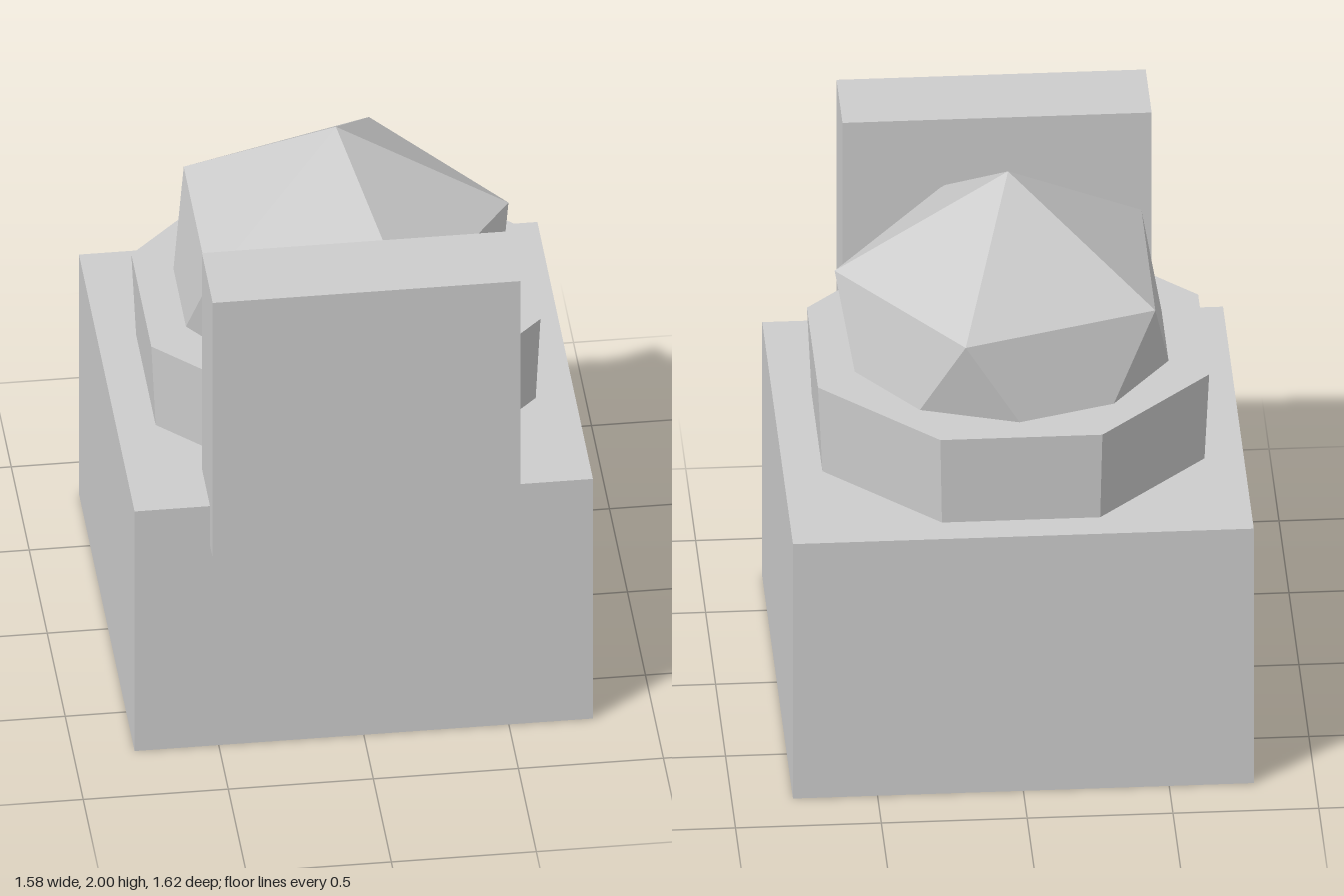
import * as THREE from 'three';

export function createModel() {
  const group = new THREE.Group();
  const grey = new THREE.MeshStandardMaterial({ color: 0xcccccc, flatShading: true });
  grey.name = 'light grey';

  const add = (name, geometry, x, y, z) => {
    const mesh = new THREE.Mesh(geometry, grey);
    mesh.name = name;
    mesh.position.set(x, y, z);
    group.add(mesh);
  };

  // Block base, standing on the ground
  add('base', new THREE.BoxGeometry(1.58, 1, 1.545), 0, 0.5, -0.0375);

  // Upright slab overhanging the front edge of the base
  add('frontPanel', new THREE.BoxGeometry(1.06, 1.065, 0.3), 0, 1.3675, 0.66);

  // Eight-sided collar, slightly wider at the top
  const collar = new THREE.CylinderGeometry(0.726, 0.709, 0.333, 8);
  collar.rotateY(Math.PI / 8);
  add('collar', collar, 0, 1.1665, -0.04);

  // Faceted dome: an icosahedron turned so one corner points straight up
  const dome = new THREE.IcosahedronGeometry(0.665, 0);
  dome.rotateZ(-Math.atan2(1, (1 + Math.sqrt(5)) / 2));
  add('dome', dome, 0, 1.335, -0.04);

  return group;
}
